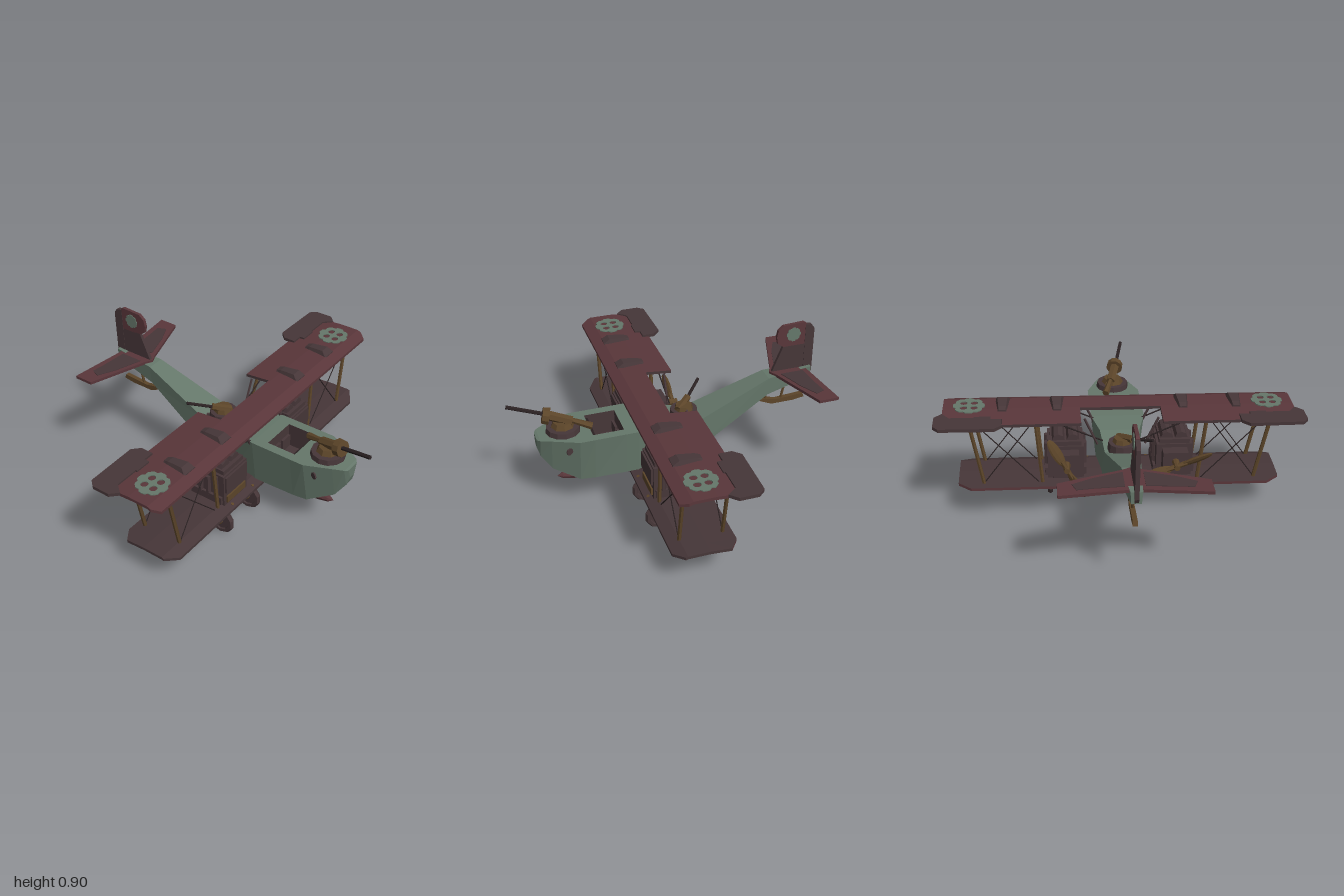
import * as THREE from 'three';

const mat = (name, color) => Object.assign(new THREE.MeshStandardMaterial({ color, flatShading: true }), { name });
const green = mat('grey green', 0x65776a), red = mat('dull red', 0x59363a), brown = mat('dark brown', 0x463638);
const wood = mat('wood', 0x5c4529), dark = mat('near black', 0x2a2122);
const V = (x, y, z) => new THREE.Vector3(x, y, z);

export function createModel() {
  const root = new THREE.Group();
  const plane = new THREE.Group();
  plane.name = 'aircraft';
  plane.rotation.z = 0.022; // slight roll
  root.add(plane);

  const add = (name, geo, m, x = 0, y = 0, z = 0, parent = plane) => {
    const o = new THREE.Mesh(geo, m);
    o.name = name;
    o.position.set(x, y, z);
    parent.add(o);
    return o;
  };
  const box = (name, m, w, h, d, x, y, z, parent) => add(name, new THREE.BoxGeometry(w, h, d), m, x, y, z, parent);
  const cyl = (r1, r2, h, n = 8) => new THREE.CylinderGeometry(r1, r2, h, n);
  // Round rod between two points
  const rod = (name, a, b, r, m, parent, r2 = r, n = 6) => {
    const d = b.clone().sub(a);
    const o = add(name, cyl(r2, r, d.length(), n), m, 0, 0, 0, parent);
    o.position.copy(a).addScaledVector(d, 0.5);
    o.quaternion.setFromUnitVectors(V(0, 1, 0), d.normalize());
    return o;
  };
  // Flat plate: points are (z, y) when upright, (x, z) when level
  const plate = (name, pts, t, m, upright, pos, holes = []) => {
    const s = new THREE.Shape(pts.map(p => new THREE.Vector2(...p)));
    s.holes = holes;
    const g = new THREE.ExtrudeGeometry(s, { depth: t, bevelEnabled: false, curveSegments: 8 });
    g.translate(0, 0, -t / 2);
    if (upright) g.rotateY(-Math.PI / 2); else g.rotateX(Math.PI / 2);
    return add(name, g, m, ...pos);
  };
  // Closed skin through rings of equal length; pick(ring, side) gives the material index
  const loft = (name, rings, mats, pick) => {
    const n = rings[0].length, buckets = mats.map(() => []);
    const tri = (k, a, b, c) => buckets[k].push([a, b, c]);
    for (let i = 0; i < rings.length - 1; i++) for (let j = 0; j < n; j++) {
      const [a, b] = [rings[i][j], rings[i][(j + 1) % n]];
      const [d, c] = [rings[i + 1][j], rings[i + 1][(j + 1) % n]];
      tri(pick(i, j), a, b, c);
      tri(pick(i, j), a, c, d);
    }
    const last = rings[rings.length - 1];
    for (let j = 1; j < n - 1; j++) {
      tri(0, rings[0][0], rings[0][j + 1], rings[0][j]);
      tri(0, last[0], last[j], last[j + 1]);
    }
    const vol = buckets.flat().reduce((s, [a, b, c]) => s + a.dot(b.clone().cross(c)), 0);
    const pos = [], g = new THREE.BufferGeometry();
    buckets.forEach((ts, k) => {
      g.addGroup(pos.length / 3, ts.length * 3, k);
      ts.forEach(([a, b, c]) => (vol > 0 ? [a, b, c] : [a, c, b]).forEach(p => pos.push(p.x, p.y, p.z)));
    });
    g.setAttribute('position', new THREE.Float32BufferAttribute(pos, 3));
    g.computeVertexNormals();
    return add(name, g, mats);
  };

  // Fuselage: z, half width top, half width bottom, top, bottom, cockpit depth
  const frames = [
    [0.73, 0.04, 0.02, 0.47, 0.41, 0], [0.715, 0.06, 0.03, 0.475, 0.36, 0], [0.66, 0.09, 0.05, 0.48, 0.28, 0],
    [0.52, 0.15, 0.1, 0.48, 0.21, 0], [0.44, 0.15, 0.11, 0.48, 0.21, 0], [0.44, 0.15, 0.11, 0.48, 0.21, 0.18],
    [0.27, 0.15, 0.12, 0.48, 0.215, 0.18], [0.27, 0.15, 0.12, 0.48, 0.215, 0], [0.2, 0.15, 0.12, 0.48, 0.215, 0],
    [0.05, 0.11, 0.1, 0.47, 0.22, 0], [-0.13, 0.095, 0.09, 0.43, 0.235, 0], [-0.58, 0.05, 0.045, 0.605, 0.5, 0],
    [-0.84, 0.03, 0.025, 0.625, 0.56, 0]];
  loft('fuselage', frames.map(([z, w, b, t, y, d]) => {
    const i = Math.min(0.1, w * 0.7);
    return [[-b, y], [b, y], [w, t], [i, t], [i, t - d], [-i, t - d], [-i, t], [-w, t]].map(p => V(p[0], p[1], z));
  }), [green, brown], (i, j) => (frames[i][5] + frames[i + 1][5] > 0 && j > 2 && j < 6 ? 1 : 0));
  for (const s of [-1, 1]) {
    box('seat', brown, 0.07, 0.06, 0.06, s * 0.045, 0.33, 0.32);
    box('seatBack', brown, 0.07, 0.12, 0.015, s * 0.045, 0.37, 0.285);
    const port = add('porthole', cyl(0.02, 0.02, 0.008, 8), brown, s * 0.126, 0.42, 0.575);
    port.rotation.set(0, s * 0.4, Math.PI / 2);
  }
  box('instrumentPanel', dark, 0.19, 0.05, 0.015, 0, 0.44, 0.43);

  // Wings: cambered section swept through mirrored span stations [x, lead z, trail z]
  const knots = [[-0.2, 0.59], [-0.1, 0.597], [0.02, 0.612], [0.18, 0.612], [0.25, 0.585]];
  const camber = z => {
    const k = Math.max(1, knots.findIndex(p => p[0] >= z)), [a, b] = [knots[k - 1], knots[k]];
    return a[1] + (b[1] - a[1]) * (z - a[0]) / (b[0] - a[0]);
  };
  const wing = (name, half, dy, mats) => {
    const span = [...half.map(([x, l, t]) => [-x, l, t]).reverse(), ...half];
    loft(name, span.map(([x, l, t]) => {
      const zs = [l, Math.min(l - 0.01, 0.18), Math.max(t + 0.01, Math.min(l - 0.05, 0.06)), t];
      return [...zs.map(z => V(x, camber(z) + dy, z)), ...zs.reverse().map(z => V(x, camber(z) + dy - 0.016, z))];
    }), mats, (i, j) => (j < 3 || j === 7 ? 0 : 1));
  };
  wing('upperWing', [[0.22, 0.24, 0.05], [0.22, 0.24, -0.1], [0.93, 0.24, -0.1], [0.96, 0.2, -0.08]], 0, [red, brown]);
  wing('lowerWing', [[0.1, 0.24, -0.1], [0.82, 0.24, -0.1], [0.89, 0.19, -0.05]], -0.39, [brown, red]);

  for (const s of [-1, 1]) {
    // Ailerons and strengthening covers on the upper wing
    plate('aileron', [[0.64, -0.06], [0.64, -0.13], [0.68, -0.17], [0.97, -0.165], [1, -0.13], [1, -0.03], [0.96, 0.01],
      [0.92, -0.04], [0.79, -0.04], [0.79, -0.03], [0.7, -0.03], [0.7, -0.06]].map(p => [s * p[0], p[1]]),
    0.018, brown, false, [0, 0.603, 0]);
    for (const x of [0.345, 0.64]) {
      loft('wingCover', [[0.03, 0.025, 0.618], [0.06, 0.03, 0.628], [0.15, 0.04, 0.636], [0.185, 0.047, 0.615]].map(([z, w, y]) =>
        [[-w, 0.605], [w, 0.605], [w * 0.7, y], [-w * 0.7, y]].map(p => V(s * x + p[0], p[1], z))), [brown], () => 0);
    }
    // Wheel shaped wing emblem with four round openings
    const rim = Array.from({ length: 32 }, (_, i) => {
      const a = i * Math.PI / 16, r = i % 4 === 2 ? 0.076 : 0.086;
      return [Math.cos(a) * r, Math.sin(a) * r];
    });
    const holes = [0, 1, 2, 3].map(i => {
      const a = Math.PI / 4 + i * Math.PI / 2;
      return new THREE.Path().absarc(Math.cos(a) * 0.04, Math.sin(a) * 0.04, 0.02, 0, Math.PI * 2, true);
    });
    plate('wingEmblem', rim, 0.006, green, false, [s * 0.82, 0.614, 0.095], holes);
    plate('finEmblem', rim.map(p => [p[0] * 0.48, p[1] * 0.48]), 0.004, green, true, [s * 0.011, 0.835, -0.73]);

    // Interplane struts and bracing wires
    for (const z of [0.18, -0.05]) {
      rod('innerStrut', V(s * 0.43, 0.21, z), V(s * 0.465, 0.595, z), 0.011, wood);
      rod('outerStrut', V(s * 0.75, 0.21, z), V(s * 0.82, 0.595, z), 0.011, wood);
      rod('wire', V(s * 0.45, 0.21, z), V(s * 0.8, 0.595, z), 0.003, dark);
      rod('wire', V(s * 0.75, 0.21, z), V(s * 0.47, 0.595, z), 0.003, dark);
      rod('centreWire', V(s * 0.1, 0.46, z), V(s * 0.4, 0.595, z), 0.004, dark);
      rod('centreStrut', V(s * 0.13, 0.44, z), V(s * 0.2, 0.595, z), 0.007, brown);
    }

    // Engine nacelle
    const eng = new THREE.Group();
    eng.name = 'engine';
    eng.position.x = s * 0.3;
    plane.add(eng);
    box('engineBody', brown, 0.2, 0.2, 0.22, 0, 0.31, 0.09, eng);
    box('engineLid', brown, 0.17, 0.03, 0.2, 0, 0.42, 0.09, eng);
    box('radiatorFrame', brown, 0.18, 0.1, 0.012, 0, 0.35, 0.205, eng);
    box('radiatorPanel', wood, 0.16, 0.04, 0.012, 0, 0.25, 0.203, eng);
    box('rearHousing', brown, 0.14, 0.14, 0.07, 0, 0.32, -0.05, eng);
    for (const x of [-0.04, 0.04]) {
      rod('cylinderBank', V(x, 0.435, 0.17), V(x, 0.435, 0.01), 0.035, brown, eng, 0.035, 8);
    }
    for (const o of [-1, 1]) {
      [0.15, 0.1, 0.05].forEach((z, i) => rod('exhaustPipe', V(o * 0.103, 0.26, z), V(o * 0.103, 0.4 - i % 2 * 0.02, z), 0.016, brown, eng));
      box('exhaustBox', brown, 0.03, 0.045, 0.2, o * 0.1, 0.25, 0.09, eng);
    }
    // Pusher propeller
    rod('propellerShaft', V(0, 0.335, -0.08), V(0, 0.335, -0.16), 0.022, wood, eng, 0.016, 8);
    const prop = new THREE.Group();
    prop.name = 'propeller';
    prop.position.set(0, 0.335, -0.135);
    prop.rotation.z = s > 0 ? -0.5 : 1.2;
    eng.add(prop);
    for (const o of [-1, 1]) {
      const blade = add('blade', new THREE.SphereGeometry(1, 8, 8), wood, 0, o * 0.115, 0, prop);
      blade.scale.set(0.03, 0.092, 0.01);
      blade.rotation.y = o * 0.5;
      rod('bladeRoot', V(0, 0, 0), V(0, o * 0.06, 0), 0.014, wood, prop);
    }

    // Undercarriage
    for (const x of [0.14, 0.385]) {
      const wheel = new THREE.Group();
      wheel.name = 'wheel';
      wheel.position.set(s * x, 0.093, 0.165);
      wheel.rotation.z = Math.PI / 2;
      plane.add(wheel);
      const tyre = add('tyre', new THREE.TorusGeometry(0.066, 0.017, 6, 10), brown, 0, 0, 0, wheel);
      tyre.rotation.x = Math.PI / 2;
      add('wheelDisc', cyl(0.06, 0.06, 0.014, 10), brown, 0, 0, 0, wheel);
      add('hub', cyl(0.018, 0.018, 0.045), wood, 0, 0, 0, wheel);
      const lx = s * (x + (x < 0.2 ? 0.03 : -0.03));
      for (const z of [0.22, 0.02]) rod('wheelLeg', V(lx, 0.093, 0.165), V(lx, 0.21, z), 0.009, wood);
    }
  }
  rod('axle', V(-0.4, 0.093, 0.165), V(0.4, 0.093, 0.165), 0.011, wood);

  // Bombs under the fuselage
  const bombProfile = [[0, -0.15], [0.012, -0.14], [0.024, -0.07], [0.026, 0.06], [0.018, 0.12], [0, 0.15]];
  for (const [z, y] of [[0.48, 0.18], [0.09, 0.165]]) {
    const bomb = add('bomb', new THREE.LatheGeometry(bombProfile.map(p => new THREE.Vector2(...p)), 8), red, 0, y, z);
    bomb.rotation.x = Math.PI / 2 - 0.05;
    for (const w of [[0.06, 0.006], [0.006, 0.06]]) box('bombFin', brown, w[0], w[1], 0.05, 0, y, z - 0.135);
    box('bombRack', brown, 0.02, 0.04, 0.06, 0, y + 0.03, z);
  }

  // Tail surfaces
  for (const s of [-1, 1]) {
    plate('tailplane', [[0, -0.6], [0.05, -0.625], [0.37, -0.735], [0.37, -0.845], [0.05, -0.81], [0, -0.81]].map(p => [s * p[0], p[1]]),
      0.016, red, false, [0, 0.612, 0]);
    for (const y of [0.621, 0.603]) {
      plate('tailplanePatch', [[0.05, -0.65], [0.2, -0.7], [0.3, -0.75], [0.28, -0.8], [0.2, -0.79], [0.05, -0.78]]
        .map(p => [s * p[0], p[1]]), 0.004, brown, false, [0, y, 0]);
    }
    rod('tailBrace', V(s * 0.02, 0.55, -0.72), V(s * 0.2, 0.605, -0.76), 0.004, dark);
  }
  plate('fin', [[-0.61, 0.61], [-0.675, 0.77], [-0.8, 0.77], [-0.8, 0.61]], 0.018, brown, true, [0, 0, 0]);
  plate('finTop', [[-0.675, 0.765], [-0.64, 0.79], [-0.632, 0.83], [-0.64, 0.87], [-0.67, 0.895], [-0.79, 0.9], [-0.805, 0.89],
    [-0.805, 0.765]], 0.018, red, true, [0, 0, 0]);
  plate('rudder', [[-0.8, 0.57], [-0.8, 0.885], [-0.835, 0.88], [-0.853, 0.855], [-0.853, 0.59], [-0.84, 0.565]], 0.022, brown, true, [0, 0, 0]);
  plate('tailSkid', [[-0.53, 0.45], [-0.58, 0.45], [-0.65, 0.435], [-0.81, 0.445], [-0.82, 0.42], [-0.75, 0.41], [-0.62, 0.41]],
    0.025, wood, true, [0, 0, 0]);
  for (const z of [-0.58, -0.68]) rod('skidPost', V(0, 0.43, z), V(0, 0.53, z - 0.02), 0.008, wood);

  // Nose gun position
  add('noseRing', cyl(0.09, 0.095, 0.035, 12), brown, 0, 0.492, 0.58);
  add('noseMount', cyl(0.05, 0.065, 0.03, 8), wood, 0, 0.522, 0.58);
  rod('noseBarrel', V(-0.02, 0.575, 0.64), V(-0.07, 0.637, 0.86), 0.011, dark);
  rod('noseReceiver', V(0.015, 0.535, 0.53), V(-0.022, 0.578, 0.66), 0.027, wood);
  rod('noseDrum', V(-0.016, 0.57, 0.645), V(-0.024, 0.578, 0.68), 0.048, wood, plane, 0.045, 10);
  rod('noseStock', V(0.015, 0.54, 0.53), V(0.05, 0.505, 0.43), 0.014, wood, plane, 0.02);

  // Rear gun position
  add('rearRing', cyl(0.075, 0.08, 0.05, 12), brown, 0, 0.455, -0.1);
  add('rearMount', cyl(0.045, 0.055, 0.03, 8), wood, 0, 0.49, -0.1);
  rod('rearReceiver', V(0.02, 0.49, -0.06), V(-0.05, 0.515, -0.14), 0.02, wood);
  rod('rearBarrel', V(-0.04, 0.51, -0.13), V(-0.15, 0.557, -0.235), 0.009, dark);
  return root;
}
